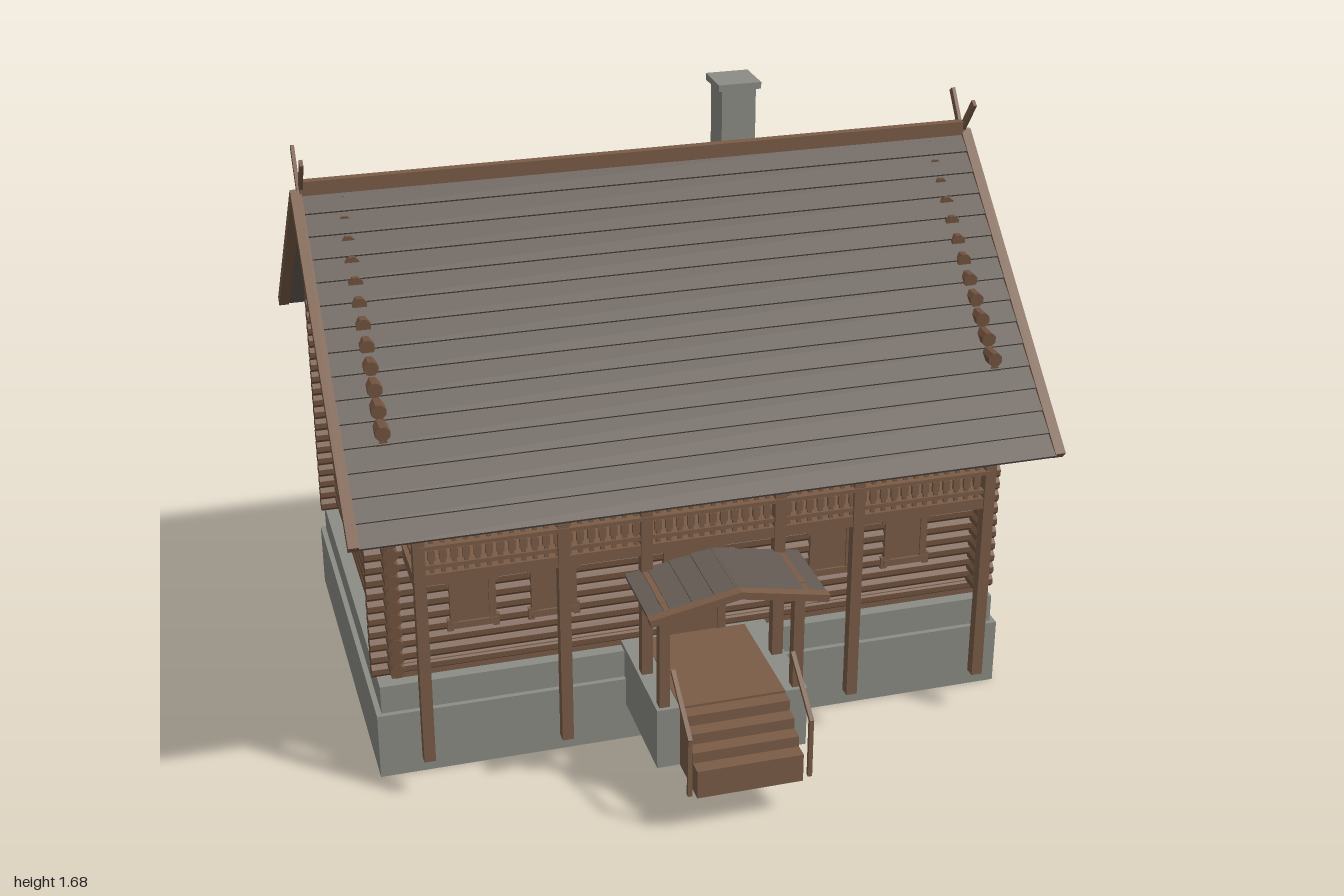
import * as THREE from 'three';

const mat = (name, color) => {
  const m = new THREE.MeshStandardMaterial({ color, flatShading: true });
  m.name = name;
  return m;
};

export function createModel() {
  const LOG = mat('logBrown', 0x71533e), WOOD = mat('trimBrown', 0x7a5c47);
  const ROOF = mat('roofGrey', 0x645b53), STONE = mat('stoneGrey', 0x8b8d85);
  const house = new THREE.Group();
  house.name = 'logHouse';

  const group = (name, parent = house) => {
    const g = new THREE.Group();
    g.name = name;
    parent.add(g);
    return g;
  };
  // Box given by its min and max on each axis
  const box = (name, m, x0, x1, y0, y1, z0, z1, parent = house) => {
    const b = new THREE.Mesh(new THREE.BoxGeometry(x1 - x0, y1 - y0, z1 - z0), m);
    b.position.set((x0 + x1) / 2, (y0 + y1) / 2, (z0 + z1) / 2);
    b.name = name;
    parent.add(b);
    return b;
  };

  // Foundation and wall core
  box('foundation', STONE, -0.93, 0.93, 0, 0.2, -0.795, 0.355);
  box('plinth', STONE, -0.915, 0.915, 0.2, 0.285, -0.775, 0.34);
  box('sill', WOOD, -0.875, 0.875, 0.285, 0.33, -0.745, 0.305);
  box('wallCore', LOG, -0.866, 0.866, 0.3, 1.05, -0.731, 0.291);

  // Log walls with crossing corner ends and stepped gables
  const walls = group('logWalls');
  const PITCH = 0.0405, MID = -0.219;
  const log = (name, len, x, y, z, alongX) => {
    const g = new THREE.CylinderGeometry(0.0215, 0.0215, len, 8);
    g.rotateY(Math.PI / 8);
    if (alongX) g.rotateZ(Math.PI / 2); else g.rotateX(Math.PI / 2);
    const l = new THREE.Mesh(g, LOG);
    l.position.set(x, y, z);
    l.name = name;
    walls.add(l);
  };
  for (let i = 0; i < 19; i++) {
    log('frontLog', 1.86, 0, 0.315 + i * PITCH, 0.29, true);
    log('backLog', 1.86, 0, 0.315 + i * PITCH, -0.73, true);
  }
  for (const s of [-1, 1]) {
    for (let i = 0; i < 30; i++) {
      const half = 0.576 - Math.max(0, i - 18) * 0.05;
      if (half > 0.02) log('sideLog', half * 2, s * 0.865, 0.337 + i * PITCH, MID, false);
    }
  }

  // Windows: casing, eared head and sill, recessed-looking sash
  const framed = (name, x, y, z, turn, w, h) => {
    const g = group(name);
    g.position.set(x, y, z);
    g.rotation.y = turn;
    const a = w / 2, b = h / 2;
    box('panel', WOOD, -a + 0.01, a - 0.01, -b + 0.01, b - 0.01, -0.03, 0.002, g);
    for (const s of [-1, 1]) {
      box('jamb', WOOD, s * (a - 0.01) - 0.01, s * (a - 0.01) + 0.01, -b, b, -0.03, 0.007, g);
      box('upperEar', WOOD, s * a - 0.009, s * a + 0.009, b - 0.035, b + 0.01, -0.03, 0.005, g);
      box('lowerEar', WOOD, s * a - 0.009, s * a + 0.009, -b - 0.01, -b + 0.025, -0.03, 0.005, g);
    }
    box('head', WOOD, -a, a, b - 0.018, b + 0.002, -0.03, 0.009, g);
    box('ledge', WOOD, -a, a, -b - 0.002, -b + 0.018, -0.03, 0.009, g);
    return g;
  };
  for (const y of [0.513, 0.888]) {
    for (const x of [-0.64, -0.41, 0.41, 0.64]) framed('frontWindow', x, y, 0.312, 0, 0.13, 0.17);
    for (const x of [-0.6, -0.2, 0.2, 0.6]) framed('backWindow', x, y, -0.752, Math.PI, 0.13, 0.17);
    for (const s of [-1, 1])
      for (const z of [0.04, -0.48]) framed('sideWindow', s * 0.887, y, z, s * Math.PI / 2, 0.13, 0.17);
  }
  for (const s of [-1, 1]) framed('atticWindow', s * 0.887, 1.245, MID, s * Math.PI / 2, 0.11, 0.15);

  // Doors
  const door = (name, y0, y1) => {
    const g = group(name);
    box('leaf', WOOD, -0.072, 0.072, y0, y1, 0.28, 0.315, g);
    for (const s of [-1, 1]) box('jamb', WOOD, s * 0.08 - 0.012, s * 0.08 + 0.012, y0, y1, 0.28, 0.322, g);
    box('lintel', WOOD, -0.1, 0.1, y1 - 0.015, y1 + 0.012, 0.28, 0.325, g);
    box('handle', LOG, -0.06, -0.045, y0 + 0.15, y0 + 0.156, 0.315, 0.325, g);
  };
  door('entranceDoor', 0.3, 0.6);
  door('balconyDoor', 0.7, 0.97);

  // Main roof: two slopes of overlapping planks
  const slopeAngle = Math.atan(0.9);
  const slope = (name, turn, len, rows) => {
    const g = group(name);
    g.position.set(0, 1.55, -0.215);
    g.rotation.order = 'YXZ';
    g.rotation.set(slopeAngle, turn, 0);
    box('deck', ROOF, -0.972, 0.972, -0.018, -0.008, 0, len - 0.005, g);
    const step = len / rows;
    for (let i = 0; i < rows; i++) {
      const p = box('roofPlank', ROOF, -0.972, 0.972, -0.009, 0.001, i * step - 0.004, (i + 1) * step + 0.004, g);
      p.rotation.x = -0.09;
    }
    for (const s of [-1, 1])
      box('bargeBoard', WOOD, s * 0.985 - 0.015, s * 0.985 + 0.015, -0.02, 0.007, 0, len, g);
  };
  slope('frontSlope', 0, 1.044, 15);
  slope('backSlope', Math.PI, 0.848, 12);
  box('ridgeBoard', WOOD, -0.975, 0.975, 1.54, 1.58, -0.228, -0.202);

  // Crossed finials at both ridge ends
  for (const sx of [-1, 1]) {
    for (const s of [-1, 1]) {
      const f = box('crossedFinial', WOOD, -0.005, 0.005, -0.07, 0.07, -0.011, 0.011);
      f.position.set(sx * 0.974 + s * 0.003, 1.598, MID + s * 0.033);
      f.rotation.x = s * 0.64;
    }
  }

  // Chimney
  box('chimney', STONE, 0.298, 0.402, 1.1, 1.668, -0.535, -0.425);
  box('chimneyCap', STONE, 0.285, 0.415, 1.665, 1.685, -0.548, -0.415);

  // Balcony with posts, beams and railing
  const balcony = group('balcony');
  const posts = [-0.81, -0.42, -0.19, 0.19, 0.42, 0.81];
  for (const x of posts) {
    box('post', WOOD, x - 0.016, x + 0.016, 0.125, 0.905, 0.467, 0.499, balcony);
    box('joist', WOOD, x - 0.016, x + 0.016, 0.665, 0.695, 0.3, 0.48, balcony);
  }
  box('floor', WOOD, -0.826, 0.826, 0.69, 0.706, 0.3, 0.48, balcony);
  box('floorBeam', WOOD, -0.826, 0.826, 0.675, 0.708, 0.472, 0.494, balcony);
  box('eaveBeam', WOOD, -0.93, 0.93, 0.872, 0.905, 0.464, 0.504, balcony);
  box('bottomRail', WOOD, -0.81, 0.81, 0.722, 0.734, 0.474, 0.492, balcony);
  box('topRail', WOOD, -0.81, 0.81, 0.823, 0.838, 0.472, 0.496, balcony);
  box('middleRail', WOOD, -0.81, 0.81, 0.785, 0.796, 0.474, 0.502, balcony);
  for (let i = -25; i <= 25; i++) {
    const x = i * 0.031;
    box('baluster', WOOD, x - 0.006, x + 0.006, 0.706, 0.83, 0.479, 0.487, balcony);
    box('balusterBoss', WOOD, x - 0.01, x + 0.01, 0.745, 0.775, 0.478, 0.488, balcony);
  }
  for (const s of [-1, 1]) {
    for (const y of [0.728, 0.79, 0.83])
      box('sideRail', WOOD, s * 0.81 - 0.007, s * 0.81 + 0.007, y - 0.006, y + 0.006, 0.3, 0.48, balcony);
    for (let i = 0; i < 5; i++)
      box('sideBaluster', WOOD, s * 0.81 - 0.004, s * 0.81 + 0.004, 0.706, 0.83, 0.324 + i * 0.031, 0.336 + i * 0.031, balcony);
  }

  // Entrance porch: stone landing, steps, posts and handrails
  const porch = group('porch');
  box('landing', STONE, -0.215, 0.215, 0.115, 0.3, 0.3, 0.685, porch);
  box('landingFloor', WOOD, -0.15, 0.15, 0.296, 0.303, 0.32, 0.687, porch);
  for (let i = 0; i < 4; i++)
    box('step', WOOD, -0.15, 0.15, 0.115, 0.2 + i * 0.032, 0.68, 0.85 - i * 0.041, porch);
  for (const s of [-1, 1]) {
    const x = s * 0.17;
    box('porchPost', WOOD, s * 0.19 - 0.015, s * 0.19 + 0.015, 0.3, 0.63, 0.643, 0.673, porch);
    box('porchBeam', WOOD, s * 0.19 - 0.013, s * 0.19 + 0.013, 0.605, 0.628, 0.48, 0.73, porch);
    box('newel', WOOD, x - 0.006, x + 0.006, 0.125, 0.305, 0.838, 0.85, porch);
    const rail = box('handrail', WOOD, x - 0.006, x + 0.006, -0.006, 0.006, -0.103, 0.103, porch);
    rail.position.set(x, 0.36, 0.765);
    rail.rotation.x = Math.atan2(0.12, 0.17);
  }
  box('porchCrossBeam', WOOD, -0.2, 0.2, 0.608, 0.628, 0.645, 0.67, porch);

  // Porch roof: low gable of lapped planks with front boards
  const porchAngle = 0.19;
  for (const s of [-1, 1]) {
    const g = group('porchSlope', porch);
    g.position.set(0, 0.668, 0);
    g.rotation.z = -s * porchAngle;
    for (let i = 0; i < 4; i++) {
      const c = s * (i + 0.5) * 0.0625;
      const p = box('porchPlank', ROOF, c - 0.035, c + 0.035, -0.015, -0.003, 0.48, 0.73, g);
      p.rotation.z = s * 0.07;
    }
    box('porchFascia', WOOD, s > 0 ? 0 : -0.255, s > 0 ? 0.255 : 0, -0.02, 0.001, 0.715, 0.743, g);
  }
  return house;
}
